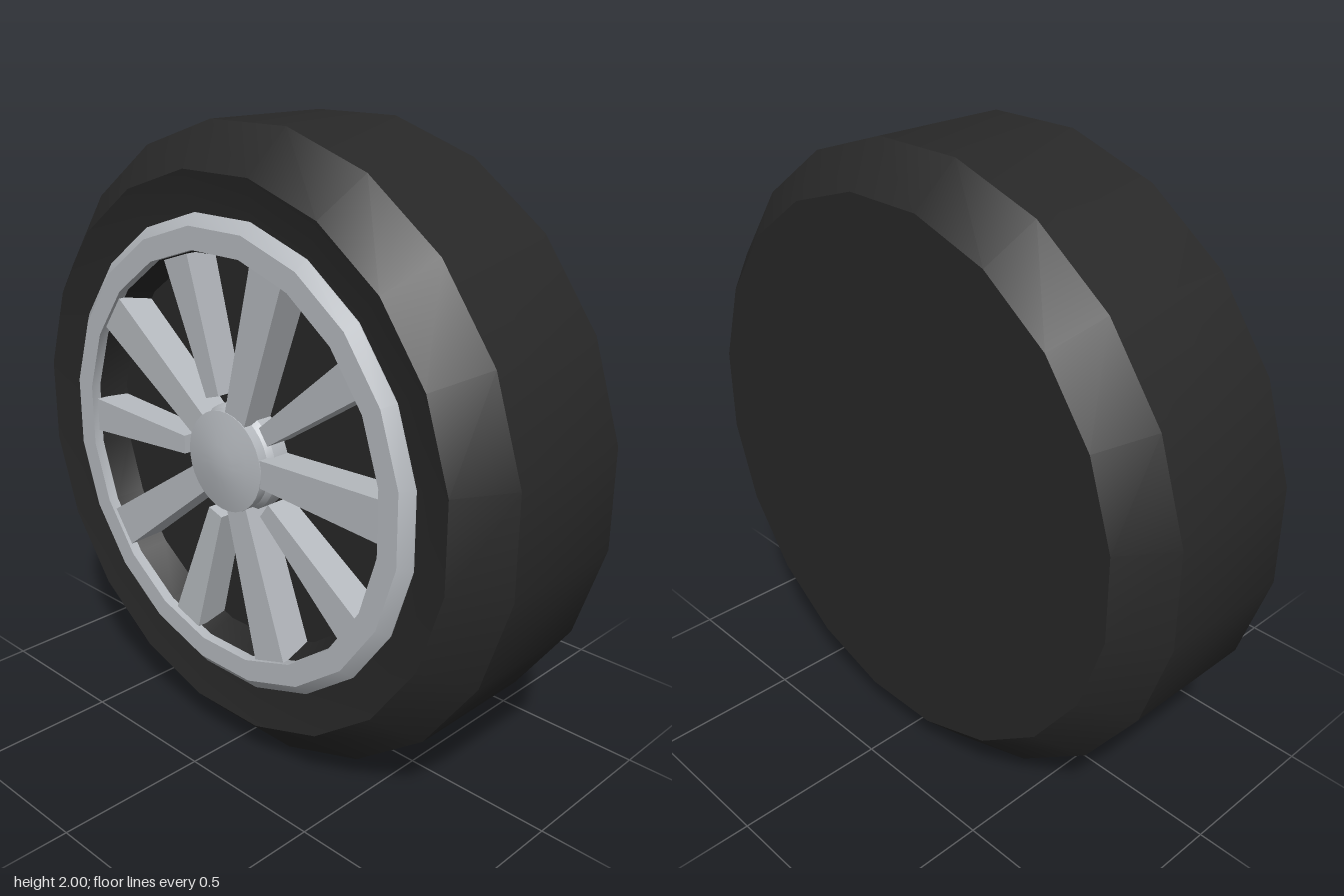
import * as THREE from 'three';
import { toCreasedNormals } from 'three/addons/utils/BufferGeometryUtils.js';

const rubber = new THREE.MeshStandardMaterial({ color: 0x282828 });
rubber.name = 'darkRubber';
const metal = new THREE.MeshStandardMaterial({ color: 0xb6babf });
metal.name = 'lightMetal';

// Lathe around the z axis; profile is [radius to the flat sides, z], back to front
function turned(name, profile, sides, material) {
  const k = 1 / Math.cos(Math.PI / sides);
  const points = profile.map(([r, z]) => new THREE.Vector2(r * k, z));
  const lathe = new THREE.LatheGeometry(points, sides, Math.PI / sides);
  lathe.rotateX(Math.PI / 2);
  const mesh = new THREE.Mesh(toCreasedNormals(lathe, 0.5), material);
  mesh.name = name;
  return mesh;
}

// Tapered bar along +x, its front dropping slightly toward the hub
function spokeGeometry(r0, r1, half0, half1, front0, front1, back) {
  const g = new THREE.BoxGeometry(1, 1, 1);
  const p = g.attributes.position;
  for (let i = 0; i < p.count; i++) {
    const outer = p.getX(i) > 0;
    const half = outer ? half1 : half0;
    const front = outer ? front1 : front0;
    p.setXYZ(i, outer ? r1 : r0, Math.sign(p.getY(i)) * half, p.getZ(i) > 0 ? front : back);
  }
  g.computeVertexNormals();
  return g;
}

export function createModel() {
  const wheel = new THREE.Group();
  wheel.name = 'wheel';

  // Tyre with chamfered shoulders, closed back and a recessed well in front
  wheel.add(turned('tyre', [
    [0, -0.365], [0.87, -0.365], [1, -0.235], [1, 0.225], [0.87, 0.355],
    [0.74, 0.328], [0.64, 0.328], [0.615, 0.235], [0, 0.235],
  ], 20, rubber));

  // Bevelled rim ring
  wheel.add(turned('rim', [
    [0.745, 0.32], [0.745, 0.332], [0.71, 0.362], [0.64, 0.362], [0.64, 0.325],
  ], 20, metal));

  // Alternating long and short spokes
  const long = spokeGeometry(0.1, 0.64, 0.042, 0.066, 0.338, 0.35, 0.225);
  const short = spokeGeometry(0.2, 0.635, 0.03, 0.056, 0.33, 0.345, 0.225);
  const spokes = new THREE.Group();
  spokes.name = 'spokes';
  for (let i = 0; i < 10; i++) {
    const spoke = new THREE.Mesh(i % 2 ? short : long, metal);
    spoke.name = i % 2 ? 'shortSpoke' : 'longSpoke';
    spoke.rotation.z = (i * Math.PI) / 5;
    spokes.add(spoke);
  }
  wheel.add(spokes);

  // Hub barrel with a shallow domed cap
  wheel.add(turned('hubBarrel', [[0.172, 0.225], [0.172, 0.29], [0.16, 0.31]], 32, metal));
  wheel.add(turned('hubCap', [
    [0.16, 0.29], [0.16, 0.342], [0.11, 0.352], [0.055, 0.36], [0, 0.365],
  ], 32, metal));

  wheel.position.y = 1;
  const model = new THREE.Group();
  model.name = 'model';
  model.add(wheel);
  return model;
}
